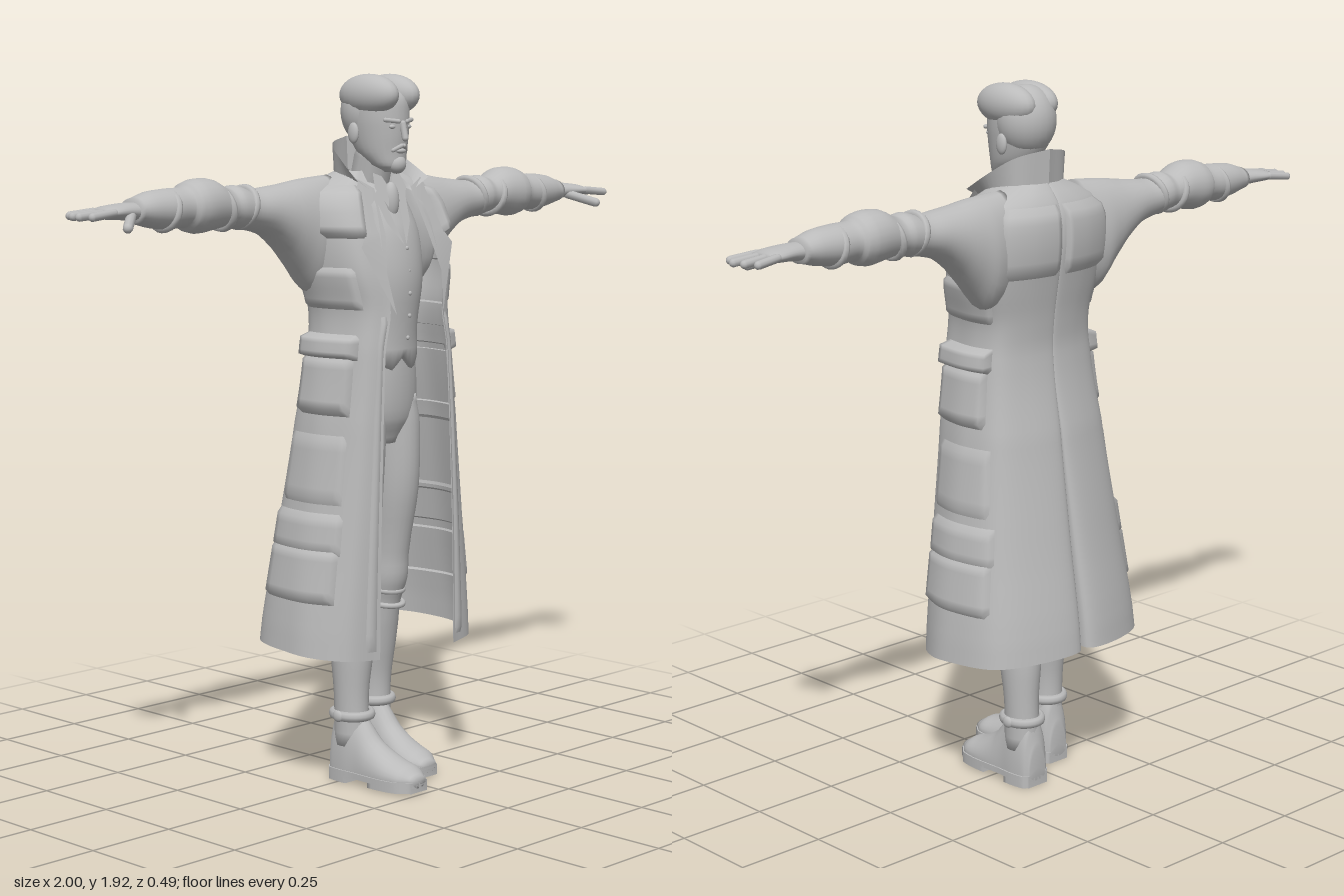
import * as THREE from 'three';

const grey = new THREE.MeshStandardMaterial({ color: 0xbbbbbb, side: THREE.DoubleSide });
grey.name = 'plain grey';
const V = (x, y, z) => new THREE.Vector3(x, y, z);

// Skin rows of points; closed rings wrap round and may be capped at both ends
function loft(rings, closed = true, cap = closed) {
  const rows = rings.slice();
  if (cap) {
    const collapse = r => {
      const c = r.reduce((s, p) => s.add(p), V(0, 0, 0)).divideScalar(r.length);
      return r.map(() => c);
    };
    rows.unshift(collapse(rings[0]));
    rows.push(collapse(rings[rings.length - 1]));
  }
  const n = rows[0].length, index = [];
  for (let i = 0; i < rows.length - 1; i++) {
    for (let j = 0; j < (closed ? n : n - 1); j++) {
      const a = i * n + j, b = i * n + (j + 1) % n;
      index.push(a, a + n, b, b, a + n, b + n);
    }
  }
  const g = new THREE.BufferGeometry().setFromPoints(rows.flat());
  g.setIndex(index);
  g.computeVertexNormals();
  return g;
}

// Ring points from a rule of (cos, sin)
const ring = (n, f) => Array.from({ length: n }, (_, j) => f(Math.cos(j / n * 2 * Math.PI), Math.sin(j / n * 2 * Math.PI)));

// Rows of numbers smoothed with extra rows between them
function refine(rows, steps = 4) {
  const out = [], get = i => rows[Math.min(rows.length - 1, Math.max(0, i))];
  for (let i = 0; i < rows.length - 1; i++) {
    for (let s = 0; s < steps; s++) {
      const t = s / steps;
      out.push(rows[i].map((p, k) => {
        const q = get(i + 1)[k], m0 = (q - get(i - 1)[k]) / 2, m1 = (get(i + 2)[k] - p) / 2;
        return k === 0 ? p + (q - p) * t
          : p + m0 * t + (3 * (q - p) - 2 * m0 - m1) * t * t + (2 * (p - q) + m0 + m1) * t * t * t;
      }));
    }
  }
  out.push(rows[rows.length - 1]);
  return out;
}

// Upright body of rows [y, x, z, rx, rz]
const upright = (rows, n = 24) => loft(refine(rows).map(([y, x, z, rx, rz]) => ring(n, (c, s) => V(x + rx * c, y, z + rz * s))));

// Coat rows: [y, frontX, frontZ, halfWidth, sideZ, backZ, ventX, ventDepth]
const coatRows = refine([
  [0.37, 0.145, 0.17, 0.305, -0.02, -0.238, 0.014, 0.07],
  [0.70, 0.14, 0.17, 0.262, -0.02, -0.192, 0.01, 0.05],
  [1.00, 0.13, 0.168, 0.222, -0.01, -0.145, 0.004, 0.02],
  [1.20, 0.12, 0.166, 0.195, -0.01, -0.112, 0, 0.006],
  [1.30, 0.10, 0.165, 0.188, -0.02, -0.115, 0, 0.006],
  [1.40, 0.11, 0.152, 0.212, -0.03, -0.13, 0, 0.006],
  [1.50, 0.10, 0.128, 0.222, -0.04, -0.145, 0, 0.006],
  [1.58, 0.085, 0.095, 0.215, -0.045, -0.142, 0, 0.006],
  [1.63, 0.075, 0.06, 0.175, -0.045, -0.122, 0, 0.006],
  [1.665, 0.06, 0.02, 0.09, -0.04, -0.09, 0, 0.006],
], 5);

function coatCurve(y) {
  let i = 0;
  while (i < coatRows.length - 2 && coatRows[i + 1][0] < y) i++;
  const a = coatRows[i], b = coatRows[i + 1], t = (y - a[0]) / (b[0] - a[0]);
  const [, fx, fz, w, sz, bz, vx, vd] = a.map((p, k) => p + (b[k] - p) * t);
  return new THREE.CatmullRomCurve3([
    V(fx, y, fz), V(fx * 0.4 + w * 0.6, y, fz * 0.82), V(w * 0.97, y, fz * 0.4 + sz * 0.6), V(w, y, sz),
    V(w * 0.88, y, bz * 0.7), V(w * 0.45, y, bz * 0.98), V(vx, y, bz), V(vx * 0.6, y, bz + vd),
  ]);
}

// Piece of coat cloth between two heights and two places round the body
function coatPiece(y0, y1, t0, t1, lift = 0, rows = 40, cols = 40) {
  const out = [];
  for (let i = 0; i <= rows; i++) {
    const y = y1 + (y0 - y1) * i / rows, curve = coatCurve(y), line = [];
    for (let j = 0; j <= cols; j++) {
      const t = t0 + (t1 - t0) * j / cols, p = curve.getPoint(t), d = curve.getTangent(t);
      const edge = lift && (i === 0 || i === rows || j === 0 || j === cols) ? -0.004 : lift;
      p.add(V(-d.z, 0, d.x).multiplyScalar(edge));
      if (!lift) p.y += 0.04 * t * THREE.MathUtils.clamp((0.7 - y) / 0.33, 0, 1);
      line.push(p);
    }
    out.push(line);
  }
  return loft(out, false);
}

function limb(a, b, r) {
  const d = b.clone().sub(a), g = new THREE.CapsuleGeometry(r, d.length(), 4, 10);
  g.applyQuaternion(new THREE.Quaternion().setFromUnitVectors(V(0, 1, 0), d.normalize()));
  return g.translate((a.x + b.x) / 2, (a.y + b.y) / 2, (a.z + b.z) / 2);
}
const ball = (x, y, z, rx, ry, rz) => new THREE.SphereGeometry(1, 24, 16).scale(rx, ry, rz).translate(x, y, z);

// Flat cloth outline bent by a depth rule
function sheet(points, depth) {
  const g = new THREE.ShapeGeometry(new THREE.Shape(points.map(p => new THREE.Vector2(...p))));
  const p = g.attributes.position;
  for (let i = 0; i < p.count; i++) p.setZ(i, depth(p.getX(i), p.getY(i)));
  g.computeVertexNormals();
  return g;
}

export function createModel() {
  const model = new THREE.Group();
  model.name = 'man in long coat';
  const add = (name, g) => {
    const m = new THREE.Mesh(g, grey);
    m.name = name;
    model.add(m);
    return m;
  };
  const pair = (name, g) => {
    add('left ' + name, g);
    add('right ' + name, g).scale.x = -1;
  };

  // Head, from chin to crown: [y, x, z, rx, rz]
  add('head', upright([[1.662, 0, 0.075, 0.022, 0.02], [1.68, 0, 0.06, 0.045, 0.045], [1.715, 0, 0.035, 0.062, 0.072],
    [1.76, 0, 0.024, 0.071, 0.088], [1.81, 0, 0.02, 0.076, 0.094], [1.86, 0, 0.018, 0.072, 0.09], [1.9, 0, 0.015, 0.045, 0.055]]));
  add('neck', limb(V(0, 1.56, -0.03), V(0, 1.7, 0.005), 0.054));
  add('back hair', ball(0, 1.822, -0.006, 0.083, 0.095, 0.08));
  pair('hair sweep', ball(0.04, 1.865, 0.026, 0.05, 0.056, 0.1));
  pair('ear', ball(0.078, 1.765, 0.005, 0.01, 0.028, 0.018));
  pair('brow', limb(V(0.016, 1.796, 0.112), V(0.05, 1.8, 0.096), 0.006));
  pair('eye', ball(0.03, 1.782, 0.103, 0.011, 0.006, 0.006));
  pair('moustache', limb(V(0.004, 1.732, 0.113), V(0.024, 1.72, 0.099), 0.006));
  add('nose', limb(V(0, 1.79, 0.112), V(0, 1.752, 0.121), 0.009));
  add('lips', ball(0, 1.718, 0.106, 0.018, 0.007, 0.008));
  add('beard', ball(0, 1.683, 0.09, 0.027, 0.026, 0.024));

  // Waistcoat with a pointed hem
  const vest = refine([[1.17, 0.122, 0.012, 0.103], [1.25, 0.116, 0.015, 0.105], [1.38, 0.135, 0.015, 0.115],
    [1.5, 0.14, 0, 0.108], [1.6, 0.115, -0.02, 0.08], [1.65, 0.06, -0.03, 0.055]]);
  add('waistcoat', loft(vest.map(([y, rx, z, rz], i) => ring(40, (c, s) =>
    V(rx * c, y - (i === 0 && s > 0 ? 0.04 * Math.max(0, 1 - Math.abs(Math.abs(c) - 0.35) / 0.35) : 0), z + rz * s)))));
  for (let i = 0; i < 5; i++) add('button', ball(0.012, 1.22 + i * 0.06, 0.121 + 0.008 * Math.sin(i * 0.9), 0.006, 0.006, 0.004));
  pair('waistcoat lapel', sheet([[0.004, 1.47], [0.045, 1.53], [0.06, 1.6], [0.035, 1.62]], (x, y) => 0.123 - (y - 1.47) * 0.45));
  pair('shirt collar', sheet([[0.005, 1.62], [0.03, 1.57], [0.06, 1.62], [0.05, 1.66], [0.02, 1.65]], (x, y) => 0.09 - (y - 1.57) * 0.45));
  add('cravat', ball(0, 1.585, 0.068, 0.024, 0.05, 0.022));

  // Trousers and boots; the right foot is set further forward
  add('hips', upright([[0.93, 0, 0.01, 0.07, 0.06], [1.0, 0, 0.008, 0.125, 0.09], [1.1, 0, 0.01, 0.13, 0.095], [1.22, 0, 0.012, 0.112, 0.09]]));
  for (const [side, s, foot] of [['left', 1, -0.08], ['right', -1, 0.005]]) {
    add(side + ' leg', upright([[0.1, s * 0.085, foot, 0.045, 0.052], [0.24, s * 0.088, foot, 0.046, 0.05],
      [0.38, s * 0.083, foot * 0.85, 0.056, 0.064], [0.47, s * 0.078, foot * 0.6 + 0.004, 0.05, 0.06],
      [0.54, s * 0.076, foot * 0.45 + 0.01, 0.058, 0.068], [0.62, s * 0.074, foot * 0.3 + 0.01, 0.055, 0.066],
      [0.8, s * 0.07, 0.01, 0.064, 0.078], [0.98, s * 0.066, 0.008, 0.066, 0.088], [1.06, s * 0.06, 0.01, 0.055, 0.08]]));
    for (const y of [0.47, 0.51, 0.57]) {
      add(side + ' knee fold', new THREE.TorusGeometry(0.049, 0.008, 8, 24).rotateX(Math.PI / 2 + 0.15)
        .scale(1, 1, 1.18).translate(s * 0.077, y, foot * 0.5 + 0.008));
    }
    // Boot slices from heel to toe: [z, x, halfWidth, height]
    const slices = refine([[-0.06, 0.082, 0.03, 0.11], [-0.045, 0.082, 0.045, 0.19], [0.0, 0.082, 0.05, 0.23], [0.045, 0.081, 0.049, 0.18],
      [0.09, 0.078, 0.053, 0.125], [0.15, 0.072, 0.058, 0.088], [0.2, 0.068, 0.052, 0.07], [0.235, 0.066, 0.026, 0.048]]);
    add(side + ' boot', loft(slices.map(([z, x, w, h]) => ring(24, (c, v) =>
      V(s * x + w * c, v > 0 ? 0.035 - v * 0.02 : 0.035 - v * (h - 0.035), z + foot)))));
    const outline = slices.map(([z, x, w]) => [z + foot, s * x, w + 0.004]);
    const slab = (list, y0, y1) => loft([y0, y0, y1, y1].map(y => [
      ...list.map(([z, x, w]) => V(x - w, y, z)), ...list.map(([z, x, w]) => V(x + w, y, z)).reverse()]));
    add(side + ' sole', slab(outline, 0.018, 0.034));
    add(side + ' heel', slab(outline.slice(0, 11), 0, 0.025));
    add(side + ' tread', slab(outline.slice(17), 0.004, 0.025));
    add(side + ' ankle strap', new THREE.TorusGeometry(0.051, 0.01, 8, 28).rotateX(Math.PI / 2).scale(1, 1.4, 1.1).translate(s * 0.085, 0.185, foot));
    add(side + ' buckle', ball(s * 0.14, 0.185, foot, 0.009, 0.016, 0.018));
  }

  // Long coat, with raised pockets, flaps and bands
  pair('coat', coatPiece(0.37, 1.665, 0, 1, 0, 60, 60));
  pair('upper pocket', coatPiece(1.02, 1.19, 0.2, 0.52, 0.022, 8, 16));
  pair('pocket flap', coatPiece(1.17, 1.24, 0.18, 0.54, 0.03, 6, 16));
  pair('lower pocket', coatPiece(0.52, 0.68, 0.2, 0.56, 0.016, 8, 16));
  pair('lower pocket flap', coatPiece(0.65, 0.77, 0.19, 0.57, 0.012, 6, 16));
  pair('skirt panel', coatPiece(0.78, 0.98, 0.2, 0.55, 0.008, 8, 16));
  pair('chest panel', coatPiece(1.3, 1.42, 0.16, 0.54, 0.01, 8, 16));
  pair('front facing', coatPiece(0.38, 1.3, 0.01, 0.07, 0.005, 30, 4));
  pair('back yoke', coatPiece(1.42, 1.62, 0.58, 0.83, 0.012, 8, 16));
  pair('shoulder flap', coatPiece(1.49, 1.63, 0.08, 0.34, 0.022, 8, 14));
  pair('lapel', sheet([[0.09, 1.29], [0.175, 1.47], [0.145, 1.51], [0.17, 1.55], [0.12, 1.645], [0.07, 1.62], [0.082, 1.5], [0.105, 1.4]],
    (x, y) => 0.178 - Math.max(0, y - 1.29) * 0.2 - Math.max(0, y - 1.47) * 0.25 - Math.max(0, x - 0.12) * 0.2));

  // Upright collar
  const low = new THREE.CatmullRomCurve3([V(0.075, 1.61, 0.075), V(0.1, 1.62, 0.01), V(0.085, 1.635, -0.06), V(0, 1.64, -0.092)]);
  const high = new THREE.CatmullRomCurve3([V(0.14, 1.645, 0.075), V(0.125, 1.69, 0.01), V(0.093, 1.735, -0.06), V(0, 1.755, -0.098)]);
  pair('collar', loft([high.getPoints(16), low.getPoints(16)], false));

  // Sleeves: [x, top, bottom, rz]
  const sleeve = refine([[0.13, 1.655, 1.36, 0.07], [0.2, 1.65, 1.345, 0.084], [0.25, 1.645, 1.4, 0.08], [0.3, 1.637, 1.455, 0.074],
    [0.36, 1.63, 1.5, 0.067], [0.42, 1.625, 1.518, 0.062], [0.47, 1.638, 1.525, 0.064], [0.5, 1.632, 1.532, 0.06],
    [0.55, 1.655, 1.525, 0.068], [0.6, 1.658, 1.518, 0.073], [0.63, 1.65, 1.524, 0.068],
    [0.645, 1.638, 1.535, 0.056], [0.7, 1.636, 1.532, 0.057], [0.76, 1.63, 1.54, 0.051], [0.81, 1.615, 1.552, 0.042]]);
  const across = (rows, z) => loft(rows.map(([x, top, bottom, rz]) => ring(24, (c, s) =>
    V(x, (top + bottom) / 2 + c * (top - bottom) / 2, z - rz * s))));
  pair('sleeve', across(sleeve, -0.045));
  for (const [x, r, tilt] of [[0.44, 0.05, 0.25], [0.52, 0.052, -0.2], [0.7, 0.046, 0.2]]) {
    pair('sleeve fold', new THREE.TorusGeometry(r, 0.011, 8, 24).rotateY(Math.PI / 2).rotateZ(tilt).scale(1, 1, 1.12).translate(x, 1.58, -0.045));
  }

  // Hands
  pair('palm', across(refine([[0.79, 1.605, 1.558, 0.034], [0.84, 1.605, 1.562, 0.04], [0.89, 1.6, 1.565, 0.049], [0.92, 1.593, 1.568, 0.046]]), -0.042));
  [[-0.082, -0.092, 0.965], [-0.055, -0.06, 0.982], [-0.028, -0.026, 0.989], [-0.003, 0.006, 0.974]].forEach(([z0, z1, x]) =>
    pair('finger', limb(V(0.9, 1.583, z0), V(x, 1.576, z1), 0.011)));
  pair('thumb', limb(V(0.835, 1.573, -0.015), V(0.895, 1.548, 0.043), 0.013));
  return model;
}
